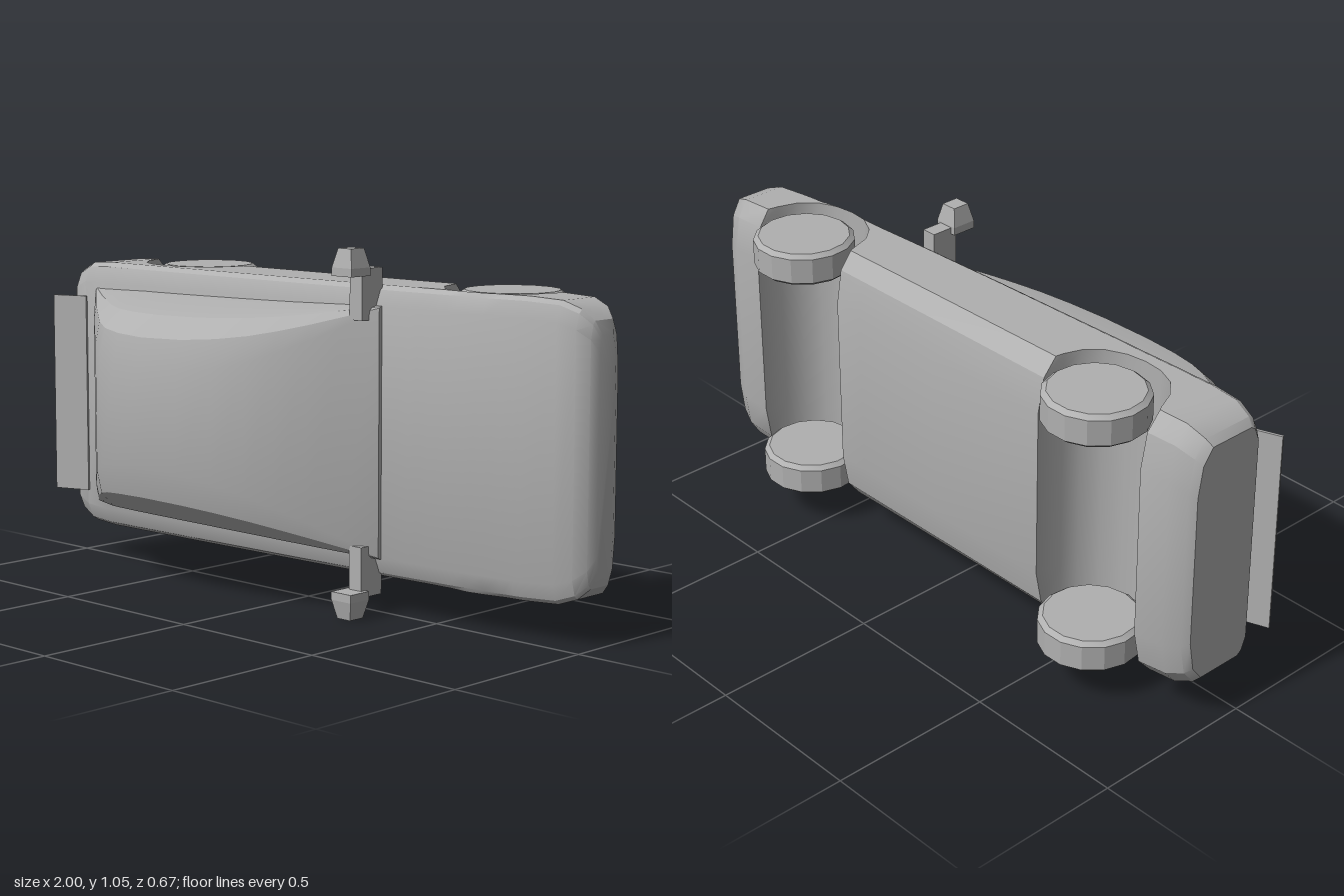
import * as THREE from 'three';
import { toCreasedNormals } from 'three/addons/utils/BufferGeometryUtils.js';

const CY = 0.525; // middle of the car's width; the car lies on its side, roof toward +z

// Skin a row of equal-length rings (counter-clockwise seen from +x), with end caps
function loft(rings, crease) {
  const n = rings[0].length, pos = rings.flat(2), idx = [];
  for (let i = 0; i < rings.length - 1; i++) {
    for (let j = 0; j < n; j++) {
      const a = i * n + j, b = i * n + (j + 1) % n;
      idx.push(a, b, a + n, b, b + n, a + n);
    }
  }
  const last = (rings.length - 1) * n;
  for (let j = 1; j < n - 1; j++) {
    idx.push(0, j + 1, j);
    idx.push(last, last + j, last + j + 1);
  }
  const g = new THREE.BufferGeometry();
  g.setAttribute('position', new THREE.Float32BufferAttribute(pos, 3));
  g.setIndex(idx);
  return toCreasedNormals(g, crease);
}

// Mirror a half section [halfWidth, z] (bottom to top) into a full ring at x
const ring = (x, half) => [
  ...half.map(([w, z]) => [x, CY + w, z]),
  ...half.slice().reverse().map(([w, z]) => [x, CY - w, z]),
];

export function createModel() {
  const car = new THREE.Group();
  car.name = 'car';
  const paint = new THREE.MeshStandardMaterial({ color: 0xb0b0b0 });
  paint.name = 'grey';
  const add = (name, geometry, parent = car) => {
    const m = new THREE.Mesh(geometry, paint);
    m.name = name;
    parent.add(m);
    return m;
  };

  // Body: x, half width, deck z, floor z, wheel-arch z (floor where there is no arch)
  const stations = [
    [-0.975, 0.365, 0.05, -0.175],
    [-0.955, 0.385, 0.064, -0.19],
    [-0.90, 0.41, 0.075, -0.207],
    [-0.81, 0.415, 0.08, -0.218],
    [-0.802, 0.415, 0.08, -0.22, -0.14],
    [-0.775, 0.415, 0.079, -0.22, -0.08],
    [-0.73, 0.415, 0.078, -0.22, -0.03],
    [-0.67, 0.415, 0.077, -0.22, -0.005],
    [-0.61, 0.415, 0.075, -0.22, 0.0],
    [-0.55, 0.415, 0.073, -0.22, -0.008],
    [-0.49, 0.415, 0.072, -0.22, -0.035],
    [-0.45, 0.415, 0.071, -0.22, -0.08],
    [-0.432, 0.415, 0.07, -0.22, -0.13],
    [-0.428, 0.415, 0.07, -0.22],
    [0, 0.415, 0.056, -0.22],
    [0.32, 0.415, 0.041, -0.22],
    [0.42, 0.415, 0.035, -0.22],
    [0.426, 0.415, 0.035, -0.22, -0.15],
    [0.45, 0.415, 0.033, -0.22, -0.08],
    [0.49, 0.415, 0.031, -0.22, -0.035],
    [0.55, 0.415, 0.028, -0.22, -0.005],
    [0.61, 0.415, 0.024, -0.22, 0.0],
    [0.67, 0.415, 0.018, -0.22, -0.008],
    [0.73, 0.415, 0.011, -0.22, -0.035],
    [0.77, 0.415, 0.006, -0.22, -0.08],
    [0.79, 0.415, 0.003, -0.22, -0.14],
    [0.796, 0.415, 0.002, -0.22],
    [0.90, 0.41, -0.01, -0.22],
    [0.955, 0.39, -0.025, -0.198],
    [0.985, 0.36, -0.05, -0.17],
    [0.997, 0.32, -0.075, -0.145],
  ];
  add('body', loft(stations.map(([x, w, top, floor, arch = floor]) => {
    const h = top - floor;
    const section = [[0.63, 0], [0.88, 0.07], [1, 0.22], [1, 0.86], [0.97, 0.93], [0.86, 1]];
    return ring(x, section.map(([fw, fz]) => [w * fw, Math.max(floor + h * fz, arch)]));
  }), 0.45));

  // Cabin: x, half width at the belt line, roof z
  const roof = [
    [-0.842, 0.340, 0.085], [-0.74, 0.342, 0.18], [-0.63, 0.345, 0.27], [-0.57, 0.345, 0.303],
    [-0.49, 0.346, 0.323], [-0.38, 0.347, 0.332], [-0.22, 0.349, 0.322], [-0.10, 0.351, 0.298],
    [0.0, 0.353, 0.265], [0.08, 0.355, 0.225], [0.16, 0.357, 0.176], [0.24, 0.359, 0.118],
    [0.325, 0.361, 0.052],
  ];
  add('cabin', loft(roof.map(([x, w, top]) => {
    const base = 0.06 - 0.025 * (x + 0.84) / 1.16;
    const h = top - base, t = h / 0.275;
    return ring(x, [
      [w, 0], [w, base],
      [w - 0.047 * t, base + 0.7 * h],
      [w - 0.107 * t, base + 0.92 * h],
      [w - 0.2 * t, top],
    ]);
  }), 0.4));

  // Rear spoiler blade
  const blade = add('rearSpoiler', new THREE.BoxGeometry(0.115, 0.615, 0.008));
  blade.position.set(-0.945, CY, 0.1);
  blade.rotation.y = 0.36;

  // Wheels, slightly bevelled on both rims
  const profile = [[0, -0.05], [0.135, -0.05], [0.15, -0.038], [0.15, 0.038], [0.135, 0.05], [0, 0.05]];
  const wheelGeometry = toCreasedNormals(
    new THREE.LatheGeometry(profile.map(([r, y]) => new THREE.Vector2(r, y)), 15), 0.3);
  for (const [end, x] of [['front', 0.605], ['rear', -0.615]]) {
    for (const [side, s] of [['Left', 1], ['Right', -1]]) {
      add(end + side + 'Wheel', wheelGeometry).position.set(x, CY + s * 0.36, -0.188);
    }
  }

  // Door mirrors on flat stalks, heads tapering outward
  for (const [side, s] of [['left', 1], ['right', -1]]) {
    const mirror = new THREE.Group();
    mirror.name = side + 'Mirror';
    car.add(mirror);
    add('mirrorStalk', new THREE.BoxGeometry(0.046, 0.145, 0.085), mirror)
      .position.set(0.28, CY + s * 0.393, 0.057);
    const head = new THREE.BoxGeometry(0.075, 0.077, 0.076, 1, 2, 1);
    const p = head.attributes.position;
    for (let i = 0; i < p.count; i++) {
      const y = p.getY(i) * s;
      if (y > 0.01) { p.setX(i, p.getX(i) * 0.65); p.setZ(i, p.getZ(i) * 0.7); }
      else if (y > -0.01) p.setY(i, -0.015 * s);
    }
    add('mirrorHead', toCreasedNormals(head, 0.2), mirror).position.set(0.28, CY + s * 0.4845, 0.119);
  }
  return car;
}
